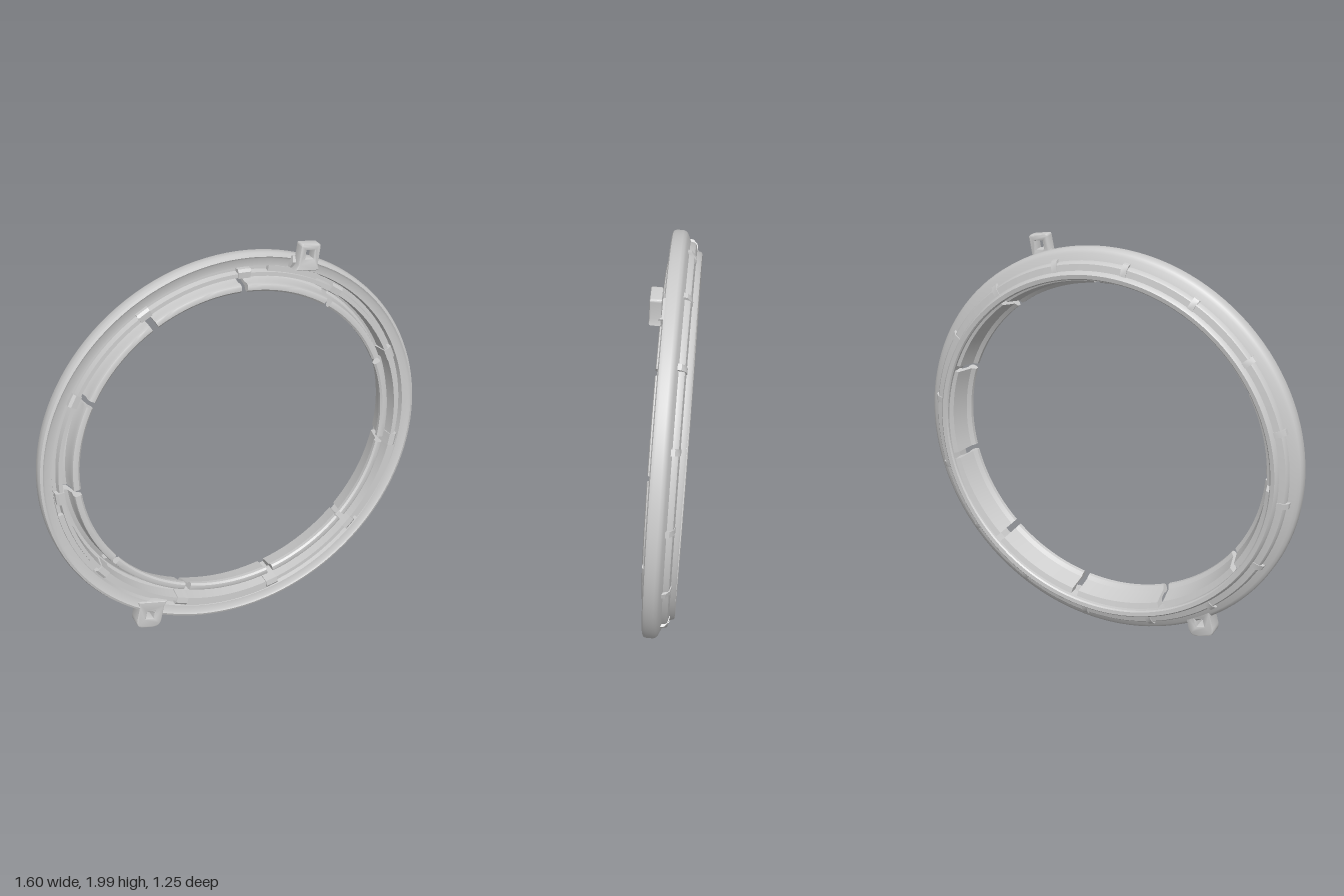
import * as THREE from 'three';
import { toCreasedNormals } from 'three/addons/utils/BufferGeometryUtils.js';

const material = new THREE.MeshStandardMaterial({ color: 0xcccccc, side: THREE.DoubleSide });
const RAD = Math.PI / 180;

// Sweeps a cross-section of [radius, depth] points around the ring from angle a0 to a1 (degrees)
function sweep(name, profile, a0, a1) {
  const shape = new THREE.Shape(profile.map(p => new THREE.Vector2(...p)));
  const steps = Math.max(1, Math.ceil((a1 - a0) / 3));
  const geo = new THREE.ExtrudeGeometry(shape, { depth: 1, steps, bevelEnabled: false });
  const pos = geo.attributes.position;
  for (let i = 0; i < pos.count; i++) {
    const r = pos.getX(i), w = pos.getY(i);
    const a = (a1 - pos.getZ(i) * (a1 - a0)) * RAD;
    pos.setXYZ(i, r * Math.cos(a), r * Math.sin(a), w);
  }
  const mesh = new THREE.Mesh(toCreasedNormals(geo, 0.6), material);
  mesh.name = name;
  return mesh;
}

// Rectangular cross-section
const rect = (r0, r1, w0, w1) => [[r0, w0], [r1, w0], [r1, w1], [r0, w1]];

// Mounting ear with a square hole; local +y points outward, origin at the hole
function ear(name, { angle, radius, turn, width, tip, corner, w0, depth }) {
  const h = width / 2, base = -0.08;
  const s = new THREE.Shape();
  s.moveTo(-h - 0.012, base);
  s.lineTo(h + 0.012, base);
  s.lineTo(h, base + 0.03);
  s.lineTo(h, tip - corner);
  s.quadraticCurveTo(h, tip, h - corner, tip);
  s.lineTo(-h + corner, tip);
  s.quadraticCurveTo(-h, tip, -h, tip - corner);
  s.lineTo(-h, base + 0.03);
  s.closePath();
  const q = 0.02;
  s.holes.push(new THREE.Path([[-q, -q], [-q, q], [q, q], [q, -q]].map(p => new THREE.Vector2(...p))));
  const geo = new THREE.ExtrudeGeometry(s, {
    depth: depth - 0.016, bevelThickness: 0.008, bevelSize: 0.006, bevelOffset: -0.006, bevelSegments: 2, curveSegments: 6,
  });
  const mesh = new THREE.Mesh(toCreasedNormals(geo, 0.6), material);
  mesh.name = name;
  mesh.position.set(radius * Math.cos(angle * RAD), radius * Math.sin(angle * RAD), w0 + 0.008);
  mesh.rotation.z = (angle - 90 + turn) * RAD;
  return mesh;
}

export function createModel() {
  const model = new THREE.Group();
  model.name = 'lockingRing';
  // The ring is turned to one side and leans back slightly
  const ring = new THREE.Group();
  ring.name = 'tiltedRing';
  ring.position.y = 0.988;
  ring.rotation.set(-2.9 * RAD, 37.5 * RAD, 0, 'YXZ');
  model.add(ring);

  // Main body: stepped back, rounded rim, front groove and inner channel
  ring.add(sweep('ringBody', [
    [0.856, -0.105], [0.862, -0.112], [0.882, -0.115], [0.889, -0.108], [0.895, -0.09], [0.925, -0.083],
    [0.931, -0.076], [0.935, -0.056], [0.966, -0.043], [0.98, -0.034], [0.987, -0.02], [0.987, 0.014],
    [0.982, 0.028], [0.97, 0.033], [0.96, 0.026], [0.925, 0.024], [0.918, 0.0],
    [0.9, 0.0], [0.895, 0.03], [0.876, 0.03], [0.87, -0.04], [0.856, -0.045],
  ], 0, 360));

  // Claws around the bore, separated by narrow gaps, with a bulge behind each gap
  const claws = new THREE.Group();
  claws.name = 'claws';
  claws.position.y = 0.012;
  ring.add(claws);
  const claw = [
    [0.835, -0.085], [0.862, -0.095], [0.862, -0.05], [0.84, -0.035], [0.83, 0.0], [0.832, 0.028],
    [0.828, 0.043], [0.82, 0.047], [0.802, 0.046], [0.793, 0.038], [0.794, 0.02], [0.812, 0.005],
  ];
  const count = 11, pitch = 360 / count;
  for (let i = 0; i < count; i++) {
    const gap = 184 + i * pitch;
    claws.add(sweep('claw', claw, gap + 1.1, gap + pitch - 1.1));
    ring.add(sweep('gapBulge', [[0.86, -0.05], [0.915, -0.02], [0.915, 0.026], [0.902, 0.036], [0.872, 0.033]], gap - 2, gap + 2));
  }

  // Plain sectors where the front groove is filled
  for (const [a0, a1] of [[190, 214], [250, 282], [318, 347], [61, 78]])
    ring.add(sweep('grooveFill', rect(0.89, 0.923, -0.02, 0.022), a0, a1));

  // Short low ribs across the step on the back
  for (let i = 0; i < 16; i++) {
    const a = 8 + i * 22.5;
    ring.add(sweep('backRib', [[0.885, -0.095], [0.925, -0.088], [0.946, -0.068], [0.95, -0.04], [0.885, -0.06]], a - 0.9, a + 0.9));
  }

  // Mounting ears; the upper one stands forward on a small foot
  ring.add(ear('upperEar', { angle: 68.7, radius: 1.018, turn: 12, width: 0.1, tip: 0.05, corner: 0.012, w0: 0.036, depth: 0.054 }));
  ring.add(sweep('upperEarFoot', [[0.925, 0.0], [0.98, 0.0], [0.985, 0.045], [0.96, 0.06], [0.93, 0.045]], 65, 72));
  ring.add(ear('lowerEar', { angle: 240.8, radius: 0.995, turn: 16, width: 0.135, tip: 0.075, corner: 0.045, w0: -0.045, depth: 0.078 }));
  return model;
}
